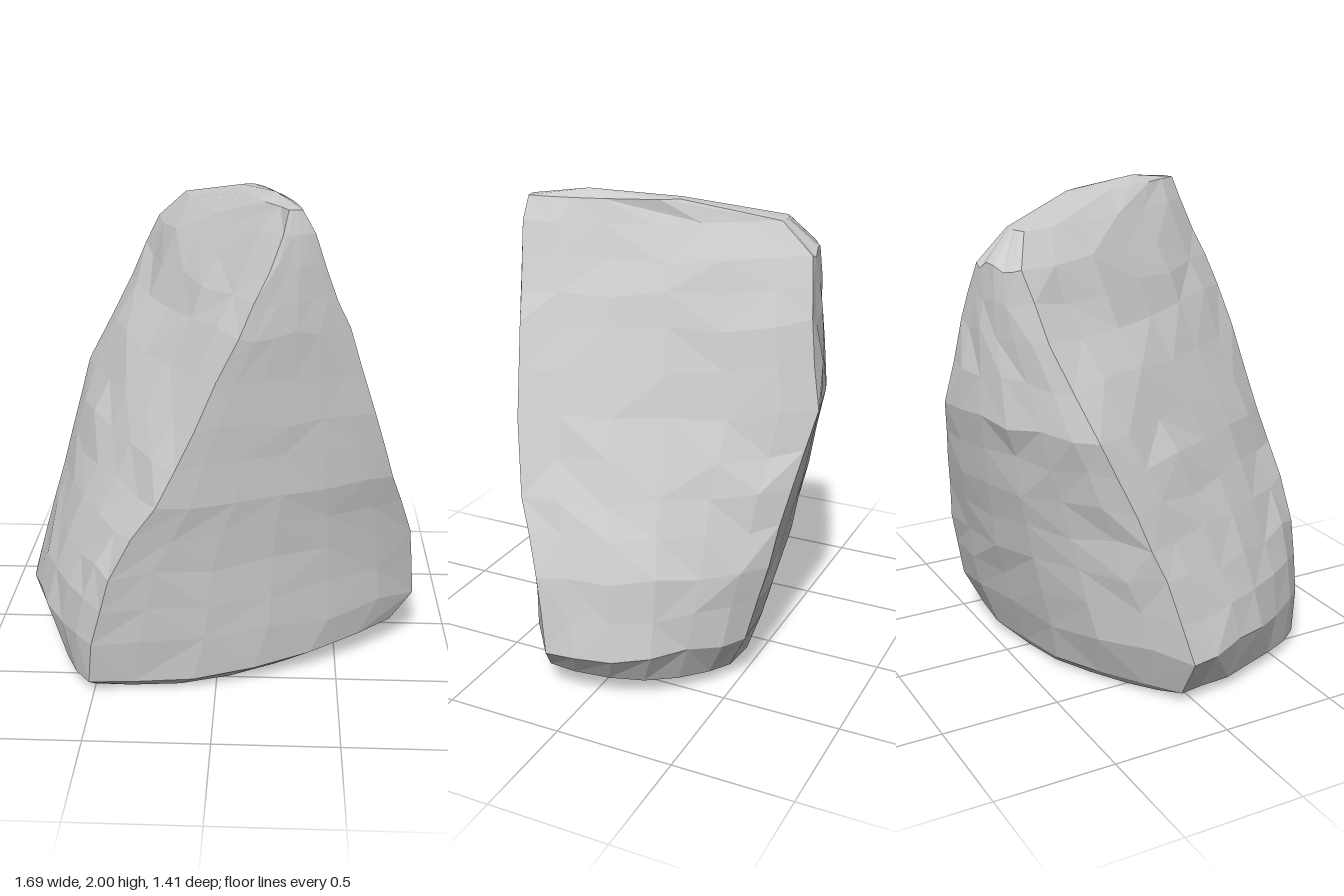
import * as THREE from 'three';

// Level: height, then x,z of front-left, front-right, back-right, back-left corners
const LEVELS = [
  [0.01, -0.5, 0.6, 0.54, 0.24, 0.3, -0.41, -0.62, -0.1],
  [0.05, -0.52, 0.65, 0.74, 0.18, 0.34, -0.46, -0.75, -0.06],
  [0.24, -0.5, 0.68, 0.84, 0.14, 0.38, -0.54, -0.85, -0.06],
  [0.55, -0.42, 0.7, 0.81, 0.19, 0.32, -0.61, -0.76, -0.14],
  [0.85, -0.23, 0.69, 0.72, 0.3, 0.21, -0.66, -0.69, -0.24],
  [1.15, -0.08, 0.66, 0.63, 0.36, 0.08, -0.71, -0.62, -0.36],
  [1.5, 0.09, 0.61, 0.52, 0.4, 0.02, -0.65, -0.43, -0.48],
  [1.75, 0.2, 0.54, 0.42, 0.44, -0.06, -0.61, -0.31, -0.53],
  [1.88, 0.25, 0.5, 0.37, 0.46, -0.06, -0.48, -0.18, -0.46],
  [1.97, 0.27, 0.47, 0.32, 0.46, 0.13, -0.12, 0.08, -0.11],
];
const STEPS = [0, 0.13, 0.31, 0.5, 0.69, 0.87];

// Repeatable noise in -1..1
const noise = (a, b) => {
  const s = Math.sin(a * 127.1 + b * 311.7) * 43758.5453;
  return 2 * (s - Math.floor(s)) - 1;
};

// One closed ring: four sides bowed outward, slightly chipped
function ring(level, row) {
  const y = level[0];
  const low = Math.max(0, 1 - y / 1.1);
  const bow = [0.02 + 0.08 * low, 0.06 + 0.1 * low, 0.1, 0.05 + 0.03 * low];
  const points = [];
  for (let side = 0; side < 4; side++) {
    const n = (side + 1) % 4;
    const x = level[1 + side * 2], z = level[2 + side * 2];
    const dx = level[1 + n * 2] - x, dz = level[2 + n * 2] - z;
    const length = Math.hypot(dx, dz);
    STEPS.forEach((t, k) => {
      const id = side * STEPS.length + k;
      const rough = (side === 0 || k === 0 ? 0.004 : 0.011) * Math.min(1, length * 2);
      const out = 4 * t * (1 - t) * bow[side] + noise(id, row) * rough / length;
      const px = x + dx * t - dz * out, pz = z + dz * t + dx * out;
      // Lower rim rises towards the front-right corner
      const rim = 0.07 * Math.max(0, 1 - Math.hypot(px - 0.75, pz - 0.2) / 0.9);
      const lift = y < 0.15 ? rim : y < 1.8 ? noise(id + 40, row) * 0.02 : 0;
      points.push([px, y + lift, pz]);
    });
  }
  return points;
}

function rockGeometry() {
  // Split tall bands so the facets stay even
  const levels = [];
  LEVELS.forEach((l, i) => {
    levels.push(l);
    const next = LEVELS[i + 1];
    if (next && next[0] - l[0] > 0.24) levels.push(l.map((v, j) => (v + next[j]) / 2));
  });
  const rings = levels.map(ring);
  const count = rings[0].length;
  const positions = [];
  const tri = (...corners) => corners.forEach((c) => positions.push(...c));

  // Walls, with the diagonal of each quad alternating irregularly
  for (let r = 0; r < rings.length - 1; r++) {
    for (let i = 0; i < count; i++) {
      const j = (i + 1) % count;
      const a = rings[r][i], b = rings[r][j], c = rings[r + 1][j], d = rings[r + 1][i];
      if (noise(i, r + 90) > 0) { tri(a, b, c); tri(a, c, d); }
      else { tri(a, b, d); tri(b, c, d); }
    }
  }
  // Underside and crest
  const top = rings[rings.length - 1];
  for (let i = 0; i < count; i++) {
    const j = (i + 1) % count;
    tri(rings[0][j], rings[0][i], [-0.03, 0, 0.1]);
    tri(top[i], top[j], [0.22, 2, 0.24]);
  }
  const geometry = new THREE.BufferGeometry();
  geometry.setAttribute('position', new THREE.Float32BufferAttribute(positions, 3));
  geometry.computeVertexNormals();
  return geometry;
}

export function createModel() {
  const group = new THREE.Group();
  group.name = 'rock';
  const material = new THREE.MeshStandardMaterial({ color: 0xcccccc, flatShading: true });
  const boulder = new THREE.Mesh(rockGeometry(), material);
  boulder.name = 'boulder';
  group.add(boulder);
  return group;
}
